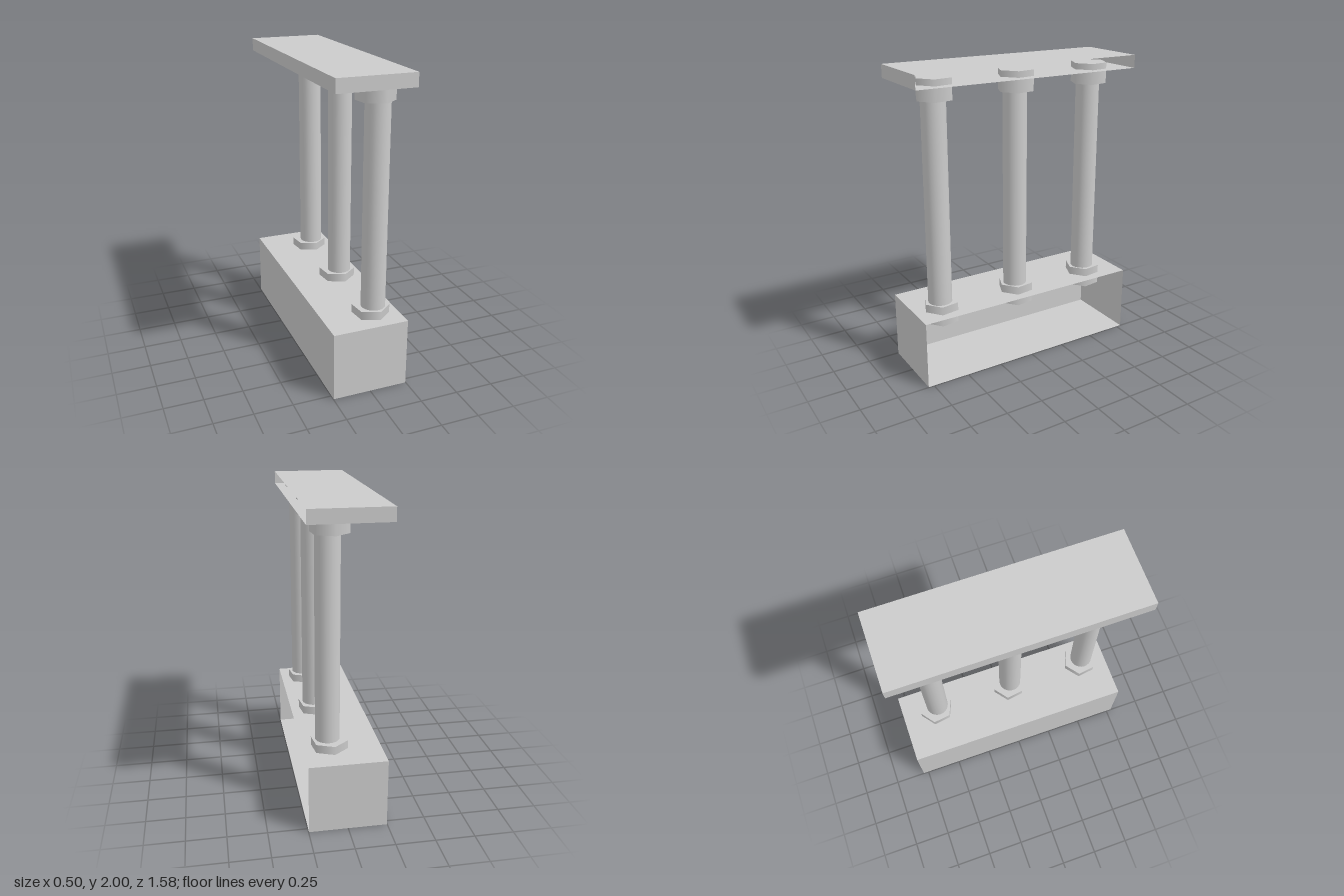
import * as THREE from 'three';

const material = new THREE.MeshStandardMaterial({ color: 0xcccccc, side: THREE.DoubleSide });

// Hollow box between two heights, left open on its +x side
function openBox(name, y0, y1) {
  const geometry = new THREE.BoxGeometry(0.495, y1 - y0, 1.575);
  geometry.setIndex(Array.from(geometry.index.array).slice(6));
  geometry.clearGroups();
  const mesh = new THREE.Mesh(geometry, material);
  mesh.name = name;
  mesh.position.y = (y0 + y1) / 2;
  return mesh;
}

// Upright prism or cylinder between two heights
function upright(name, radius, sides, y0, y1, x, z, turn = 0) {
  const geometry = new THREE.CylinderGeometry(radius, radius, y1 - y0, sides, 1, false, turn);
  const mesh = new THREE.Mesh(geometry, material);
  mesh.name = name;
  mesh.position.set(x, (y0 + y1) / 2, z);
  return mesh;
}

export function createModel() {
  const model = new THREE.Group();
  model.name = 'balustrade';

  model.add(openBox('base', 0, 0.45), openBox('topRail', 1.915, 2));

  // Three balusters, each with a six-sided collar sunk into the base and rail
  const turn = THREE.MathUtils.degToRad(8);
  for (const z of [0.609, 0.042, -0.525]) {
    const baluster = new THREE.Group();
    baluster.name = 'baluster';
    baluster.add(
      upright('column', 0.078, 24, 0.4, 1.92, 0.0875, z),
      upright('lowerCollar', 0.12, 6, 0.37, 0.505, 0.077, z - 0.013, turn),
      upright('upperCollar', 0.12, 6, 1.82, 1.955, 0.077, z - 0.013, turn),
    );
    model.add(baluster);
  }
  return model;
}
